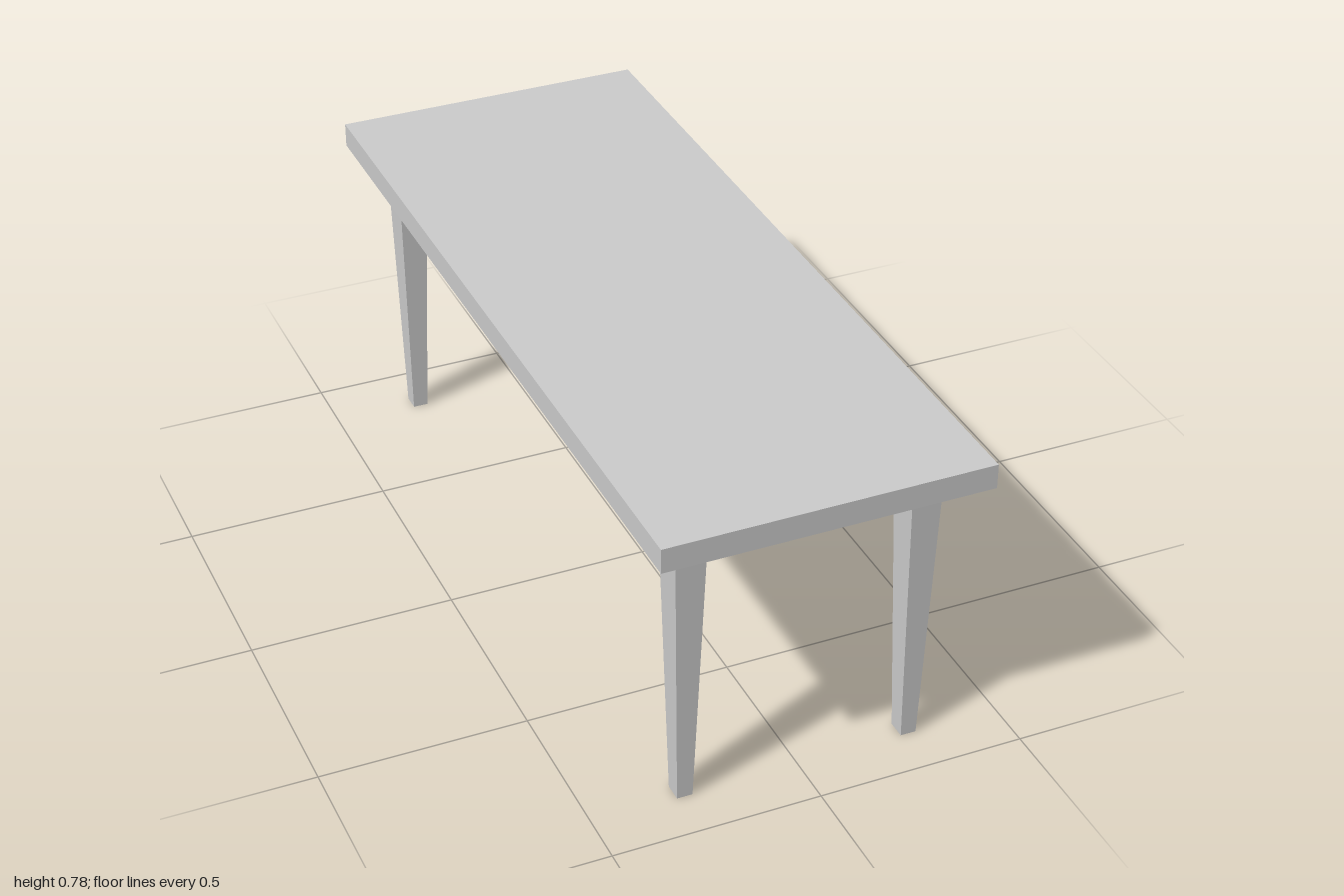
import * as THREE from 'three';

const TOP_Y = 0.78, UNDER_Y = 0.72;

// Box standing on y = 0 that narrows to half its width at the foot
function taperedLeg(width, height, depth) {
  const geometry = new THREE.BoxGeometry(width, height, depth);
  geometry.translate(0, height / 2, 0);
  const pos = geometry.attributes.position;
  for (let i = 0; i < pos.count; i++) {
    const s = 0.5 + 0.5 * (pos.getY(i) / height);
    pos.setX(i, pos.getX(i) * s);
    pos.setZ(i, pos.getZ(i) * s);
  }
  geometry.computeVertexNormals();
  return geometry;
}

export function createModel() {
  const model = new THREE.Group();
  model.name = 'table';
  const material = new THREE.MeshStandardMaterial({ color: 0xcccccc, flatShading: true });

  // Table top
  const top = new THREE.Mesh(new THREE.BoxGeometry(0.777, TOP_Y - UNDER_Y, 2), material);
  top.name = 'tableTop';
  top.position.y = (TOP_Y + UNDER_Y) / 2;
  model.add(top);

  // Four legs, mirrored to the corners
  const legGeometry = taperedLeg(0.075, UNDER_Y, 0.09);
  for (const [xName, x] of [['Left', 1], ['Right', -1]]) {
    for (const [zName, z] of [['front', 1], ['back', -1]]) {
      const leg = new THREE.Mesh(legGeometry, material);
      leg.name = `${zName}${xName}Leg`;
      leg.position.set(x * 0.277, 0, z * 0.86);
      model.add(leg);
    }
  }
  return model;
}
